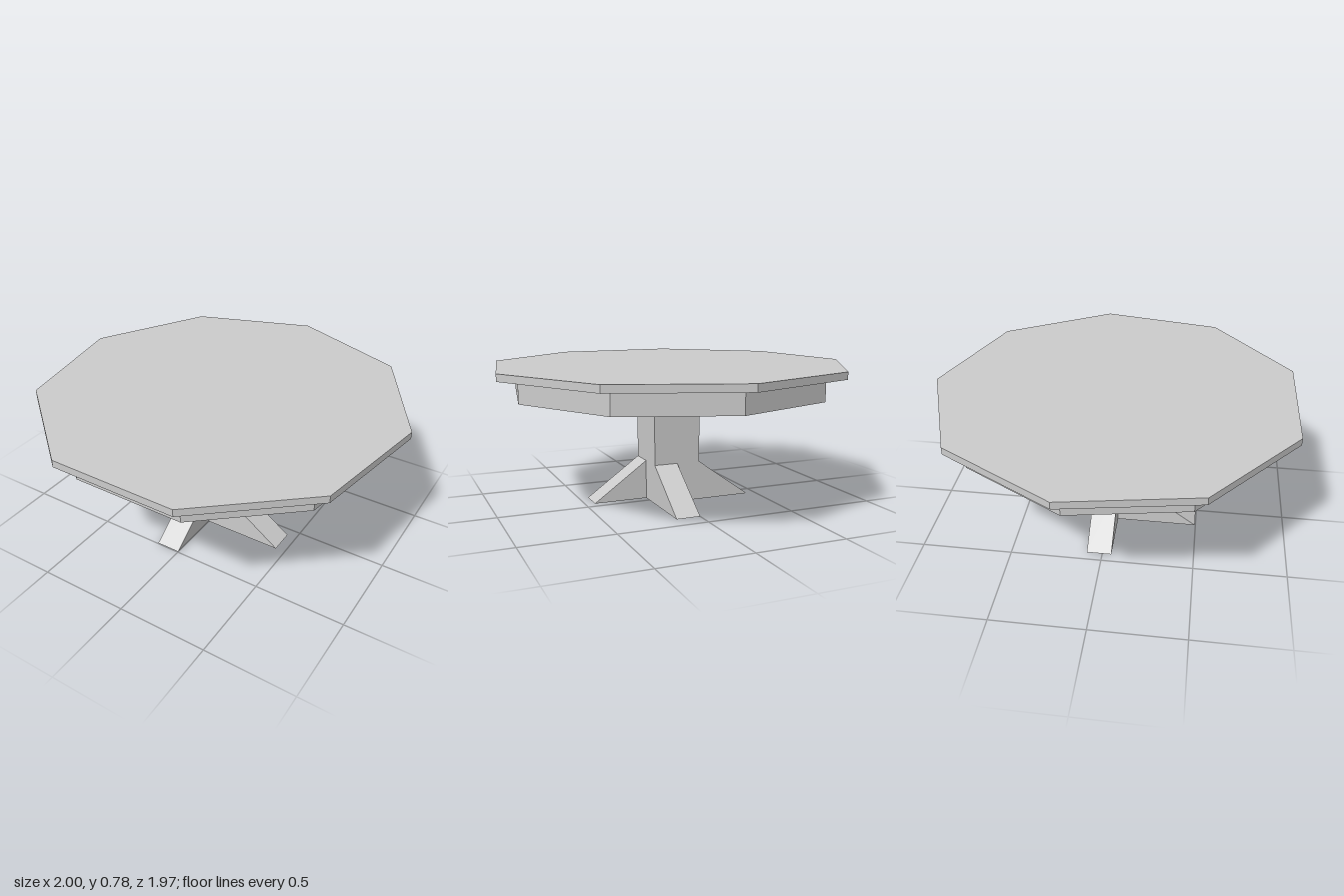
import * as THREE from 'three';

export function createModel() {
  const model = new THREE.Group();
  model.name = 'pedestalTable';
  const material = new THREE.MeshStandardMaterial({ color: 0xcccccc, flatShading: true });

  function add(name, geometry, x, y, z) {
    const mesh = new THREE.Mesh(geometry, material);
    mesh.name = name;
    mesh.position.set(x, y, z);
    model.add(mesh);
    return mesh;
  }

  // Nine-sided slab with one corner pointing to the back
  function slab(name, radius, bottom, top) {
    const geometry = new THREE.CylinderGeometry(radius, radius, top - bottom, 9, 1, false, Math.PI);
    add(name, geometry, 0, (bottom + top) / 2, 0.03);
  }
  slab('tabletop', 1.015, 0.74, 0.78);
  slab('apron', 0.904, 0.618, 0.74);

  // Square column, slightly forward of centre
  const half = 0.136;
  const columnZ = 0.05;
  add('column', new THREE.BoxGeometry(half * 2, 0.618, half * 2), 0, 0.309, columnZ);

  // Four wedge feet, each covering half of a column side in a pinwheel
  const wedge = new THREE.Shape([
    new THREE.Vector2(half, 0),
    new THREE.Vector2(0.446, 0),
    new THREE.Vector2(half, 0.222),
  ]);
  const footGeometry = new THREE.ExtrudeGeometry(wedge, { depth: half, bevelEnabled: false });
  for (let i = 0; i < 4; i++) {
    add('foot' + (i + 1), footGeometry, 0, 0, columnZ).rotation.y = (-i * Math.PI) / 2;
  }

  return model;
}
